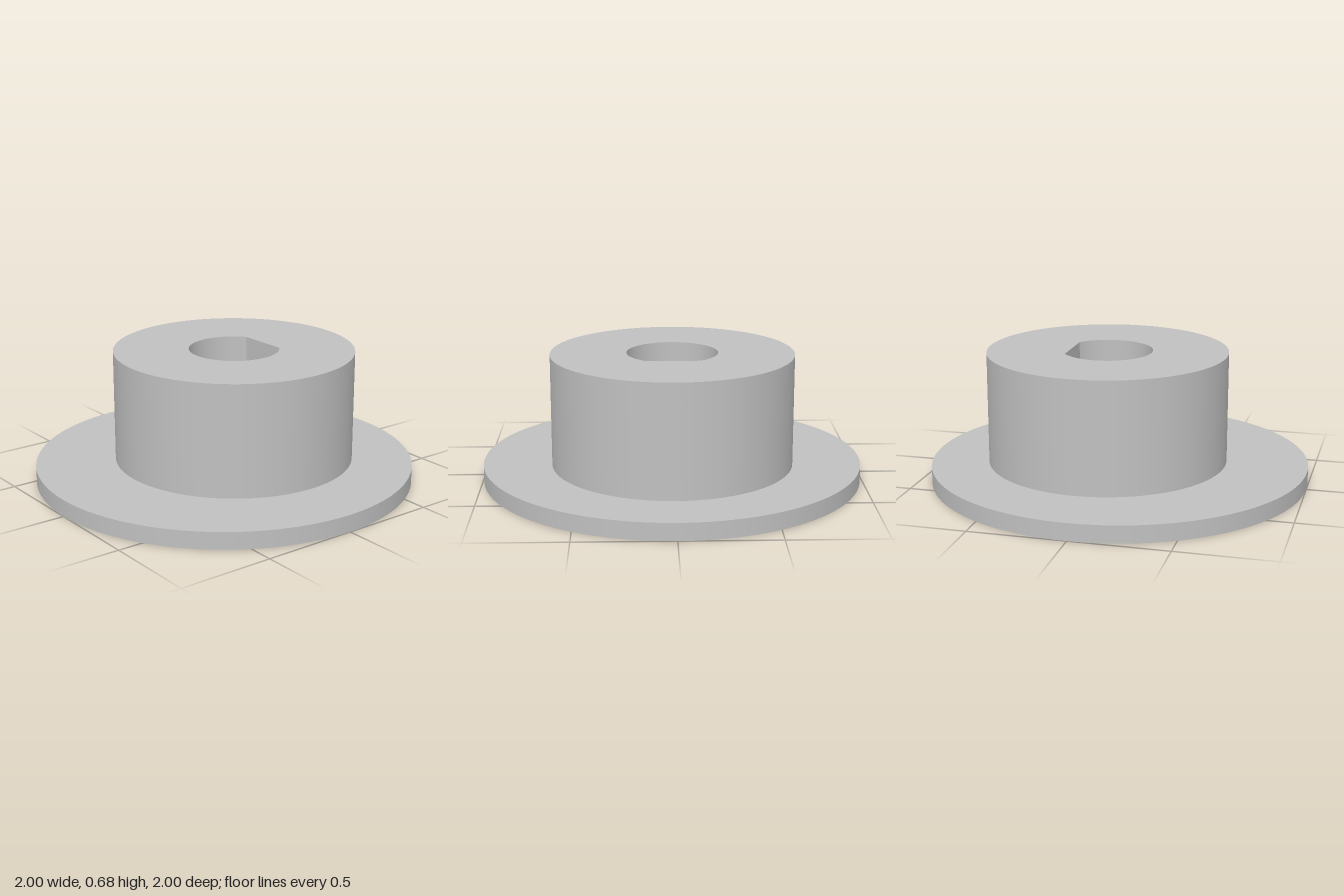
import * as THREE from 'three';
import { toCreasedNormals } from 'three/addons/utils/BufferGeometryUtils.js';

const HUB_X = 0.066;     // hub and bore sit slightly off the flange centre
const BORE_R = 0.238;
const FLAT_X = 0.194;    // distance of the bore's flat from the bore centre

// D-shaped bore: an arc closed by a straight flat on the +x side
function boreHole() {
  const a = Math.acos(FLAT_X / BORE_R);
  const hole = new THREE.Path();
  hole.absarc(HUB_X, 0, BORE_R, a, Math.PI * 2 - a, false);
  hole.closePath();
  return hole;
}

// Upright round disc pierced by the bore
function boredDisc(name, x, radius, y0, y1, material) {
  const shape = new THREE.Shape();
  shape.absarc(x, 0, radius, 0, Math.PI * 2, false);
  shape.holes.push(boreHole());
  const solid = new THREE.ExtrudeGeometry(shape, {
    depth: y1 - y0, bevelEnabled: false, curveSegments: 96,
  });
  solid.rotateX(-Math.PI / 2);
  solid.translate(0, y0, 0);
  const mesh = new THREE.Mesh(toCreasedNormals(solid, 0.4), material);
  mesh.name = name;
  return mesh;
}

export function createModel() {
  const grey = new THREE.MeshStandardMaterial({ color: 0xc0c0c0 });
  grey.name = 'light grey';

  const model = new THREE.Group();
  model.name = 'flangedBushing';
  model.add(
    boredDisc('flange', 0, 1, 0, 0.09, grey),
    boredDisc('hub', HUB_X, 0.635, 0.09, 0.682, grey),
  );
  return model;
}
